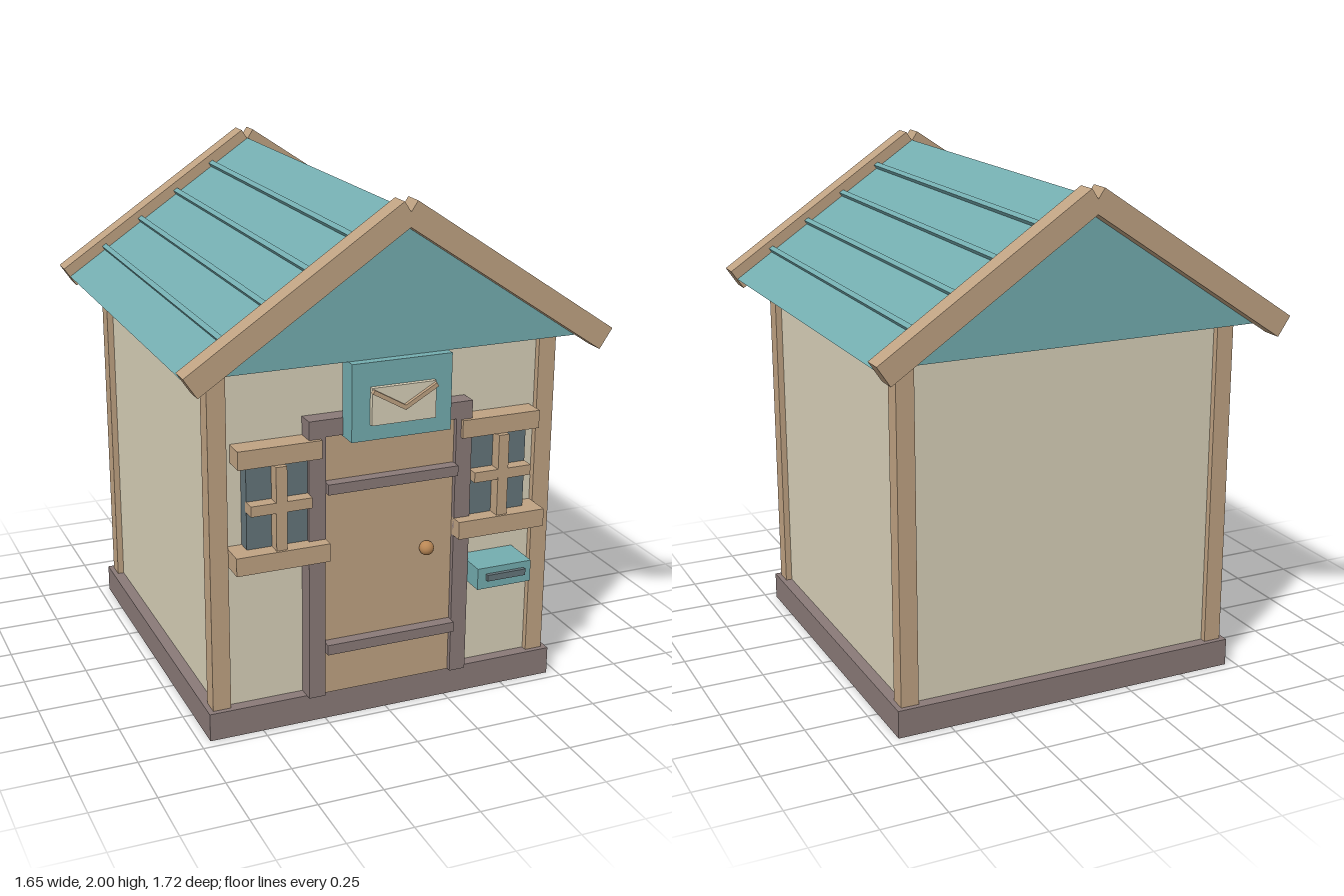
import * as THREE from 'three';

const mat = (color) => new THREE.MeshStandardMaterial({ color });

export function createModel() {
  const house = new THREE.Group();
  house.name = 'postHouse';
  const teal = mat(0x74adb0), cream = mat(0xd9d1b9), wood = mat(0xc0a383);
  const stone = mat(0x8a7a78), glass = mat(0x65757a), brass = mat(0xb98755);

  // Box given by its limits on each axis
  const block = (name, m, x0, x1, y0, y1, z0, z1) => {
    const mesh = new THREE.Mesh(new THREE.BoxGeometry(x1 - x0, y1 - y0, z1 - z0), m);
    mesh.position.set((x0 + x1) / 2, (y0 + y1) / 2, (z0 + z1) / 2);
    mesh.name = name;
    house.add(mesh);
    return mesh;
  };
  // Same box on side s (+1 or -1) of the x axis
  const sideBlock = (s, name, m, x0, x1, ...rest) =>
    s > 0 ? block(name, m, x0, x1, ...rest) : block(name, m, -x1, -x0, ...rest);

  // Base, walls and corner posts
  block('base', stone, -0.71, 0.71, 0, 0.11, -0.71, 0.71);
  block('walls', cream, -0.665, 0.665, 0.11, 1.43, -0.665, 0.665);
  for (const s of [1, -1]) {
    sideBlock(s, 'frontPost', wood, 0.62, 0.69, 0.11, 1.43, 0.62, 0.69);
    sideBlock(s, 'backPost', wood, 0.62, 0.69, 0.11, 1.43, -0.69, -0.62);
  }

  // Solid gabled roof
  const eave = 1.43, ridge = 1.965, half = 0.8;
  const pitch = Math.atan2(ridge - eave, half);
  const gable = new THREE.Shape([
    new THREE.Vector2(-half, eave), new THREE.Vector2(half, eave), new THREE.Vector2(0, ridge),
  ]);
  const roof = new THREE.Mesh(
    new THREE.ExtrudeGeometry(gable, { depth: 1.56, bevelEnabled: false }), teal);
  roof.position.z = -0.78;
  roof.name = 'roof';
  house.add(roof);

  for (const s of [1, -1]) {
    // Ribs running along the roof
    for (let i = 1; i <= 4; i++) {
      const rib = new THREE.Mesh(new THREE.BoxGeometry(0.02, 0.03, 1.56), teal);
      const x = i * 0.16;
      rib.position.set(s * x, ridge - x * Math.tan(pitch) + 0.004, 0);
      rib.rotation.z = -s * pitch;
      rib.name = 'roofRib';
      house.add(rib);
    }
    // Barge boards on both gables
    for (const z of [0.82, -0.82]) {
      const board = new THREE.Mesh(new THREE.BoxGeometry(0.962, 0.09, 0.08), wood);
      board.position.set(s * 0.4, 1.695, z);
      board.rotation.z = -s * pitch;
      board.name = 'bargeBoard';
      house.add(board);
    }
  }

  // Door with frame, straps and knob
  block('door', wood, -0.26, 0.26, 0.11, 1.145, 0.66, 0.715);
  block('doorFrameTop', stone, -0.26, 0.26, 1.145, 1.21, 0.66, 0.735);
  for (const s of [1, -1])
    sideBlock(s, 'doorFrameSide', stone, 0.26, 0.325, 0.11, 1.21, 0.66, 0.735);
  for (const y of [0.29, 0.93])
    block('doorStrap', stone, -0.26, 0.26, y, y + 0.04, 0.7, 0.76);
  const knob = new THREE.Mesh(new THREE.SphereGeometry(0.028, 20, 14), brass);
  knob.position.set(0.152, 0.645, 0.729);
  knob.name = 'doorKnob';
  house.add(knob);

  // Windows beside the door
  for (const s of [1, -1]) {
    sideBlock(s, 'windowGlass', glass, 0.325, 0.56, 0.75, 1.07, 0.66, 0.72);
    sideBlock(s, 'windowLintel', wood, 0.28, 0.6, 1.07, 1.14, 0.66, 0.75);
    sideBlock(s, 'windowSill', wood, 0.26, 0.62, 0.68, 0.75, 0.66, 0.78);
    sideBlock(s, 'windowBarUpright', wood, 0.422, 0.464, 0.75, 1.07, 0.71, 0.77);
    sideBlock(s, 'windowBarAcross', wood, 0.325, 0.56, 0.895, 0.935, 0.71, 0.769);
  }

  // Letter box
  block('letterBox', teal, 0.325, 0.55, 0.48, 0.565, 0.66, 0.82);
  block('letterSlot', glass, 0.36, 0.52, 0.515, 0.54, 0.81, 0.835);

  // Sign with an envelope
  block('signBoard', teal, -0.195, 0.195, 1.14, 1.43, 0.73, 0.815);
  block('envelope', cream, -0.125, 0.125, 1.2, 1.34, 0.81, 0.833);
  for (const s of [1, -1]) {
    const flap = new THREE.Mesh(new THREE.BoxGeometry(0.146, 0.016, 0.018), wood);
    flap.position.set(s * 0.061, 1.293, 0.838);
    flap.rotation.z = s * 0.52;
    flap.name = 'envelopeFlap';
    house.add(flap);
  }
  return house;
}
